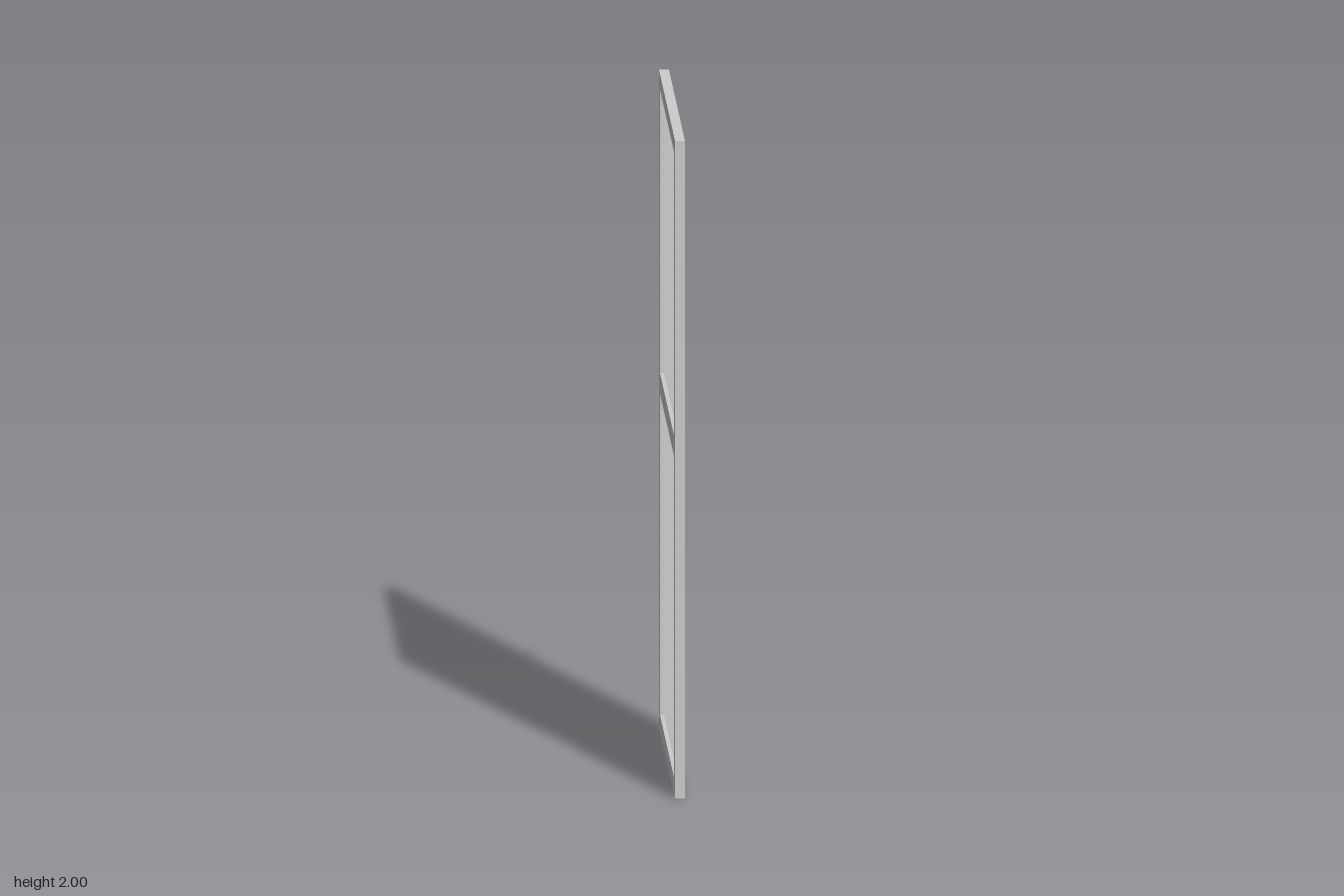
import * as THREE from 'three';

export function createModel() {
  const group = new THREE.Group();
  group.name = 'louvredDoor';
  const material = new THREE.MeshStandardMaterial({ color: 0xcccccc });
  const add = (geometry, name, parent = group) => {
    const mesh = new THREE.Mesh(geometry, material);
    mesh.name = name;
    parent.add(mesh);
    return mesh;
  };

  const halfWidth = 0.38, openHalf = 0.333;
  const backX = -0.032, thickness = 0.029;
  const midX = backX + thickness / 2;
  const openings = [
    { name: 'lowerSlats', bottom: 0.05, top: 1.028, count: 19 },
    { name: 'upperSlats', bottom: 1.09, top: 1.953, count: 17 },
  ];

  const rect = (path, w, y0, y1) => {
    path.moveTo(-w, y0);
    path.lineTo(w, y0);
    path.lineTo(w, y1);
    path.lineTo(-w, y1);
    path.closePath();
    return path;
  };

  // Frame: stiles and rails around two openings
  const outline = rect(new THREE.Shape(), halfWidth, 0, 2);
  for (const o of openings) outline.holes.push(rect(new THREE.Path(), openHalf, o.bottom, o.top));
  const frameGeometry = new THREE.ExtrudeGeometry(outline, { depth: thickness, bevelEnabled: false });
  frameGeometry.rotateY(Math.PI / 2).translate(backX, 0, 0);
  add(frameGeometry, 'frame');

  // Tilted slats, lower edge towards the knob side
  const slatGeometry = new THREE.BoxGeometry(0.004, 0.052, openHalf * 2);
  for (const o of openings) {
    const slats = new THREE.Group();
    slats.name = o.name;
    group.add(slats);
    const pitch = (o.top - o.bottom) / o.count;
    for (let i = 0; i < o.count; i++) {
      const slat = add(slatGeometry, 'slat', slats);
      slat.position.set(midX, o.bottom + pitch * (i + 0.5), 0);
      slat.rotation.z = 0.463;
    }
  }

  // Knob with round backplate, turned about the x axis
  const knob = new THREE.Group();
  knob.name = 'knob';
  knob.position.set(backX + thickness, 1.06, -0.356);
  knob.rotation.z = -Math.PI / 2;
  group.add(knob);
  const plate = add(new THREE.CylinderGeometry(0.022, 0.022, 0.005, 32), 'backplate', knob);
  plate.position.y = 0.0025;
  const profile = new THREE.SplineCurve([
    [0.011, 0.004], [0.0095, 0.010], [0.0105, 0.016], [0.0142, 0.021],
    [0.0153, 0.026], [0.0145, 0.031], [0.011, 0.0342], [0, 0.035],
  ].map(([r, y]) => new THREE.Vector2(r, y))).getPoints(24);
  profile.forEach((p) => { p.x = Math.max(0, p.x); });
  add(new THREE.LatheGeometry(profile, 32), 'handle', knob);

  return group;
}
